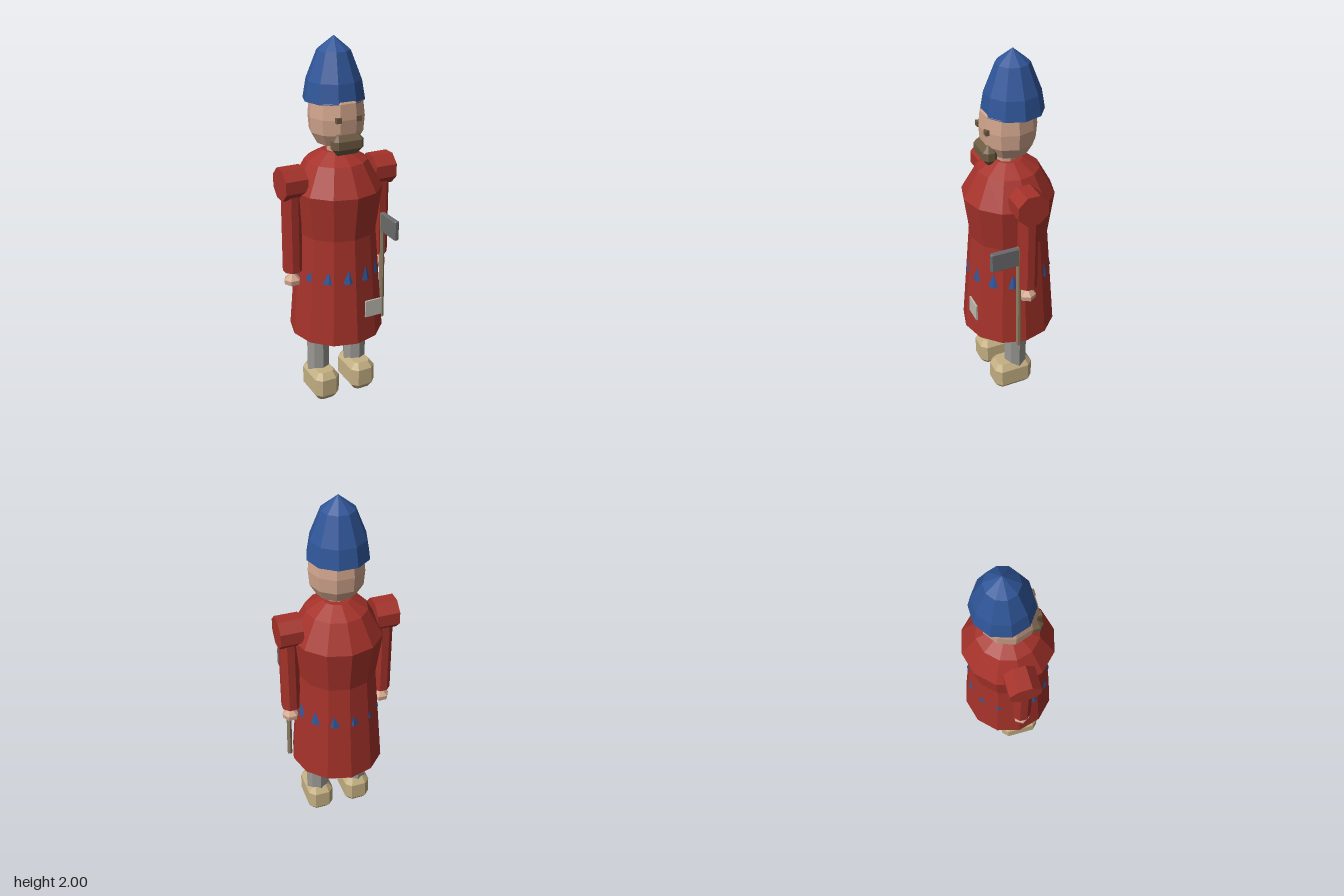
import * as THREE from 'three';

const mat = (color) => new THREE.MeshStandardMaterial({ color, flatShading: true });

export function createModel() {
  const model = new THREE.Group();
  const red = mat(0xa5322a), blue = mat(0x2f5598), skin = mat(0xd0a48c), grey = mat(0x9a9892);
  const tan = mat(0xc4b083), brown = mat(0x6e5b42), wood = mat(0x8f7c62), steel = mat(0x6a6a6c);
  const cloth = mat(0xbdbab0);

  const add = (name, geometry, material, x = 0, y = 0, z = 0, parent = model) => {
    const mesh = new THREE.Mesh(geometry, material);
    mesh.name = name;
    mesh.position.set(x, y, z);
    parent.add(mesh);
    return mesh;
  };
  // Faceted turned shape from [radius, height] pairs, listed upwards
  const turned = (profile, sides, turn = 0) =>
    new THREE.LatheGeometry(profile.map(([r, y]) => new THREE.Vector2(r, y)), sides, turn);
  // Box with one flat chamfer along every edge, centred on the origin
  const chamferBox = (w, h, d, c, cy = c) => {
    const a = w / 2 - c, b = d / 2 - c, k = Math.min(a, b) * 0.35;
    const shape = new THREE.Shape([
      [a, -b + k], [a, b - k], [a - k, b], [-a + k, b],
      [-a, b - k], [-a, -b + k], [-a + k, -b], [a - k, -b],
    ].map(([x, y]) => new THREE.Vector2(x, y)));
    const g = new THREE.ExtrudeGeometry(shape, {
      depth: h - 2 * cy, bevelEnabled: true, bevelSize: c, bevelThickness: cy, bevelSegments: 1,
    });
    return g.translate(0, 0, cy - h / 2).rotateX(-Math.PI / 2);
  };

  // Coat, closed at the hem
  add('coat', turned([[0, 0.4], [0.257, 0.4], [0.211, 0.99], [0.244, 1.23],
    [0.164, 1.375], [0.075, 1.428], [0, 1.428]], 12), red);

  // Ring of pointed trim around the coat
  const trim = new THREE.Group();
  trim.name = 'coatTrim';
  model.add(trim);
  for (let i = 0; i < 13; i++) {
    const a = THREE.MathUtils.degToRad(-9) + (i / 13) * Math.PI * 2;
    const point = add('trimPoint', new THREE.ConeGeometry(0.04, 0.078, 4), blue,
      0.217 * Math.sin(a), 0.791, 0.217 * Math.cos(a), trim);
    point.rotation.y = a;
    point.scale.z = 0.4;
  }

  // Patch on the skirt
  add('patch', new THREE.BoxGeometry(0.097, 0.095, 0.01), cloth, 0.098, 0.592, 0.245);

  // Neck, head and hat
  const half = Math.PI / 10;
  add('neck', new THREE.CylinderGeometry(0.056, 0.056, 0.12, 8), skin, 0, 1.45, 0.01);
  add('head', turned([[0, 1.47], [0.105, 1.47], [0.14, 1.53], [0.147, 1.61],
    [0.138, 1.69], [0.09, 1.76], [0, 1.76]], 10, half), skin);
  add('hat', turned([[0, 1.685], [0.16, 1.685], [0.143, 1.785], [0.086, 1.93], [0, 2]], 10, half),
    blue, 0, 0, -0.025);
  add('beard', chamferBox(0.17, 0.112, 0.074, 0.03, 0.035), brown, 0, 1.487, 0.122);

  for (const s of [1, -1]) {
    const side = s > 0 ? 'left' : 'right';
    add(side + 'Eye', new THREE.BoxGeometry(0.027, 0.027, 0.02), brown, s * 0.056, 1.614, 0.136);

    // Arm: shoulder drum, sleeve and hand
    const shoulder = new THREE.CylinderGeometry(0.088, 0.088, 0.122, 8);
    shoulder.rotateY(Math.PI / 8).rotateZ(Math.PI / 2);
    add(side + 'Shoulder', shoulder, red, s * 0.259, 1.282, 0);
    add(side + 'Sleeve', new THREE.CylinderGeometry(0.052, 0.052, 0.46, 8).rotateY(Math.PI / 8),
      red, s * 0.26, 1.02, 0.002);
    add(side + 'Hand', turned([[0, 0.69], [0.045, 0.715], [0.047, 0.74], [0, 0.778]], 6, Math.PI / 6),
      skin, s * 0.262, 0, 0.002);

    // Leg and shoe
    add(side + 'Leg', new THREE.CylinderGeometry(0.065, 0.065, 0.32, 8), grey, s * 0.115, 0.28, 0.004);
    add(side + 'Shoe', chamferBox(0.146, 0.172, 0.224, 0.026, 0.036), tan, s * 0.113, 0.086, 0.032);
  }

  // Axe held in the left hand
  const handle = add('axeHandle', new THREE.CylinderGeometry(0.014, 0.014, 0.64, 6), wood,
    0.26, 0.72, 0.051);
  handle.rotation.z = 0.015;
  add('axeBlade', chamferBox(0.028, 0.11, 0.152, 0.005), steel, 0.257, 0.988, 0.13);

  return model;
}
